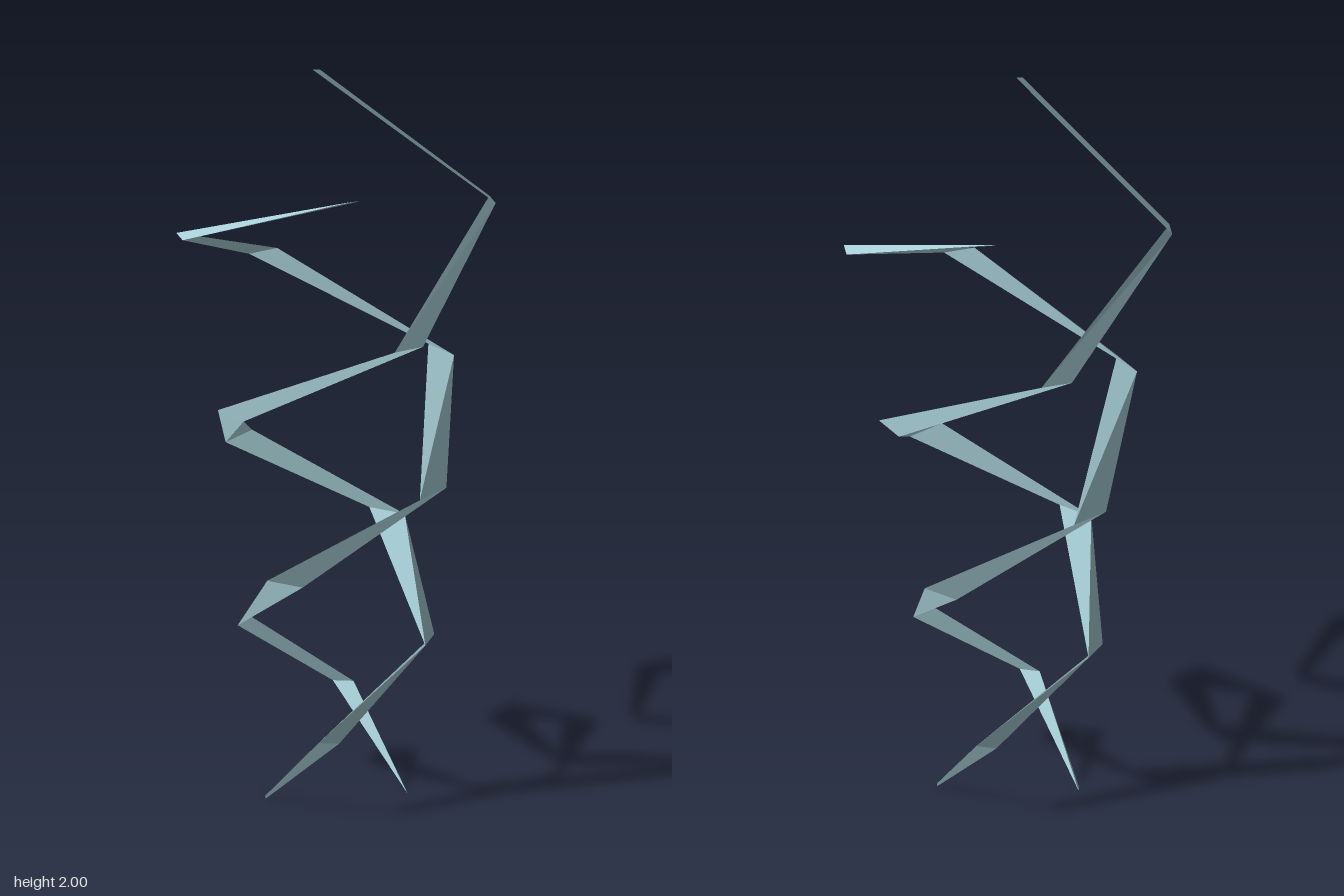
import * as THREE from 'three';

const STEPS = 8;
const HEIGHT = 2;
const TURNS = 1.75;

// Two end points of the strand's level cross-section, lying along the tangent
function crossSection(i) {
  const t = i / STEPS;
  const angle = Math.PI - TURNS * 2 * Math.PI * t;
  const radius = 0.2 + 0.3 * t;
  const half = (0.02 + 0.1 * Math.sin(Math.PI * t)) / 2;
  const centre = new THREE.Vector3(Math.cos(angle) * radius, HEIGHT * t, Math.sin(angle) * radius);
  const tangent = new THREE.Vector3(-Math.sin(angle), 0, Math.cos(angle));
  return [-half, half].map((s) => centre.clone().addScaledVector(tangent, s));
}

// One widening spiral: each link is a twisted quad with an outer and an inner sheet,
// and each sheet is shaded evenly with the quad's mean normal
function strandGeometry() {
  const positions = [];
  const normals = [];
  const addSheet = (corners, normal) => {
    for (const corner of corners) {
      positions.push(...corner.toArray());
      normals.push(...normal.toArray());
    }
  };
  for (let i = 0; i < STEPS; i++) {
    const [t1, l1] = crossSection(i);
    const [t2, l2] = crossSection(i + 1);
    const outward = t2.clone().sub(l1).cross(l2.clone().sub(t1)).normalize();
    addSheet([l1, t1, l2, t1, t2, l2], outward);
    addSheet([l1, t2, t1, l1, l2, t2], outward.clone().negate());
  }
  const geometry = new THREE.BufferGeometry();
  geometry.setAttribute('position', new THREE.Float32BufferAttribute(positions, 3));
  geometry.setAttribute('normal', new THREE.Float32BufferAttribute(normals, 3));
  return geometry;
}

export function createModel() {
  const group = new THREE.Group();
  group.name = 'doubleSpiral';
  const paleTeal = new THREE.MeshStandardMaterial({ color: 0xa8d0d8 });
  paleTeal.name = 'paleTeal';

  // Two identical strands, half a turn apart
  const geometry = strandGeometry();
  ['firstStrand', 'secondStrand'].forEach((name, k) => {
    const strand = new THREE.Mesh(geometry, paleTeal);
    strand.name = name;
    strand.rotation.y = k * Math.PI;
    group.add(strand);
  });
  return group;
}
